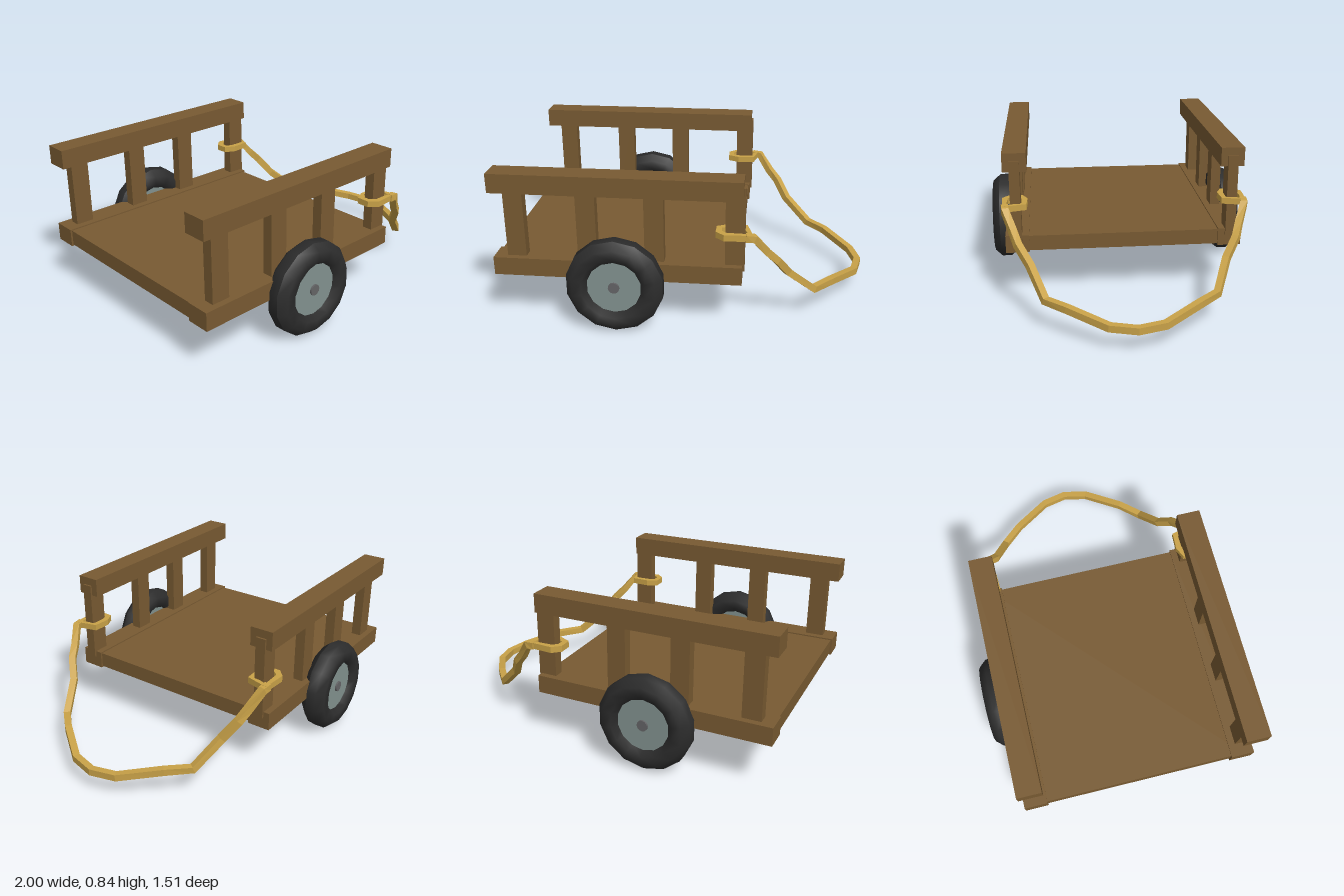
import * as THREE from 'three';

const paint = (color, flat = true) => new THREE.MeshStandardMaterial({ color, flatShading: flat });
const wood = paint(0x785a32);
const rubber = paint(0x2c2c2c, false);
const hubMetal = paint(0x82928f);
const steel = paint(0x646466, false);
const ropeColor = paint(0xc9a248);

function add(parent, name, geometry, material) {
  const mesh = new THREE.Mesh(geometry, material);
  mesh.name = name;
  parent.add(mesh);
  return mesh;
}

// Box given by its extents on each axis
function beam(parent, name, [x0, x1], [y0, y1], [z0, z1]) {
  const g = new THREE.BoxGeometry(x1 - x0, y1 - y0, z1 - z0);
  g.translate((x0 + x1) / 2, (y0 + y1) / 2, (z0 + z1) / 2);
  return add(parent, name, g, wood);
}

// Square-section rope swept along a polyline with mitred corners
function sweep(points, size, closed = false) {
  const n = points.length, pos = [], idx = [];
  const up = new THREE.Vector3(0, 1, 0);
  const at = i => closed ? points[(i + n) % n] : points[Math.min(n - 1, Math.max(0, i))];
  points.forEach((p, i) => {
    const a = p.clone().sub(at(i - 1)).normalize();
    const b = at(i + 1).clone().sub(p).normalize();
    const t = a.clone().add(b).normalize();
    const side = new THREE.Vector3().crossVectors(up, t).normalize();
    const top = new THREE.Vector3().crossVectors(t, side);
    for (const [u, v] of [[-1, -1], [1, -1], [1, 1], [-1, 1]]) {
      const q = p.clone().addScaledVector(side, u * size / 2).addScaledVector(top, v * size / 2);
      pos.push(q.x, q.y, q.z);
    }
  });
  const spans = closed ? n : n - 1;
  for (let i = 0; i < spans; i++) {
    for (let k = 0; k < 4; k++) {
      const a = i * 4 + k, b = i * 4 + (k + 1) % 4;
      const c = ((i + 1) % n) * 4 + k, d = ((i + 1) % n) * 4 + (k + 1) % 4;
      idx.push(a, b, d, a, d, c);
    }
  }
  if (!closed) {
    const e = (n - 1) * 4;
    idx.push(0, 2, 1, 0, 3, 2, e, e + 1, e + 2, e, e + 2, e + 3);
  }
  const g = new THREE.BufferGeometry();
  g.setAttribute('position', new THREE.Float32BufferAttribute(pos, 3));
  g.setIndex(idx);
  g.computeVertexNormals();
  return g;
}

function makeWheel(s) {
  const wheel = new THREE.Group();
  wheel.name = s > 0 ? 'leftWheel' : 'rightWheel';
  // Tyre: octagonal section turned around the axle
  const section = [];
  for (let i = 0; i <= 8; i++) {
    const a = (i + 0.5) * Math.PI / 4;
    section.push(new THREE.Vector2(0.197 + 0.068 * Math.cos(a), 0.076 * Math.sin(a)));
  }
  const tyre = new THREE.LatheGeometry(section, 14);
  tyre.rotateX(Math.PI / 2);
  add(wheel, 'tyre', tyre, rubber);
  const disc = new THREE.CylinderGeometry(0.15, 0.15, 0.08, 14);
  disc.rotateX(Math.PI / 2);
  add(wheel, 'hubDisc', disc, hubMetal);
  wheel.position.set(-0.345, 0.263, s * 0.685);
  return wheel;
}

export function createModel() {
  const cart = new THREE.Group();
  cart.name = 'handCart';

  beam(cart, 'floor', [-0.99, 0.305], [0.282, 0.368], [-0.6, 0.6]);

  for (const s of [1, -1]) {
    const label = s > 0 ? 'left' : 'right';
    const span = (a, b) => s > 0 ? [a, b] : [-b, -a];

    // Side rails and posts
    const side = new THREE.Group();
    side.name = label + 'Side';
    beam(side, 'bottomRail', [-1, 0.315], [0.275, 0.375], span(0.53, 0.66));
    beam(side, 'topRail', [-1, 0.315], [0.74, 0.845], span(0.53, 0.66));
    for (const x of [-0.88, -0.5, -0.145, 0.275]) {
      beam(side, 'post', [x - 0.051, x + 0.051], [0.34, 0.8], span(0.568, 0.625));
    }
    cart.add(side);
    cart.add(makeWheel(s));

    // Rope loop tied around the front post
    const loop = [[0.355, 0.655], [0.325, 0.55], [0.24, 0.548], [0.19, 0.57], [0.19, 0.625], [0.225, 0.657]]
      .map(([x, z]) => new THREE.Vector3(x, 0.548, s * z));
    if (s < 0) loop.reverse();
    add(cart, label + 'RopeLoop', sweep(loop, 0.034, true), ropeColor);
  }

  // Axle
  const axle = new THREE.CylinderGeometry(0.03, 0.03, 1.47, 12);
  axle.rotateX(Math.PI / 2);
  axle.translate(-0.345, 0.263, 0);
  add(cart, 'axle', axle, steel);

  // Pull rope: half of the path, mirrored to the other side
  const half = [
    [0.33, 0.548, 0.655], [0.375, 0.545, 0.652], [0.44, 0.455, 0.613], [0.495, 0.395, 0.587],
    [0.555, 0.3, 0.525], [0.7, 0.165, 0.45], [0.8, 0.162, 0.34], [0.945, 0.127, 0.14],
  ];
  const path = [
    ...half, [0.978, 0.122, 0],
    ...half.slice().reverse().map(([x, y, z]) => [x, y, -z]),
  ].map(p => new THREE.Vector3(...p));
  add(cart, 'pullRope', sweep(path, 0.038), ropeColor);

  return cart;
}
